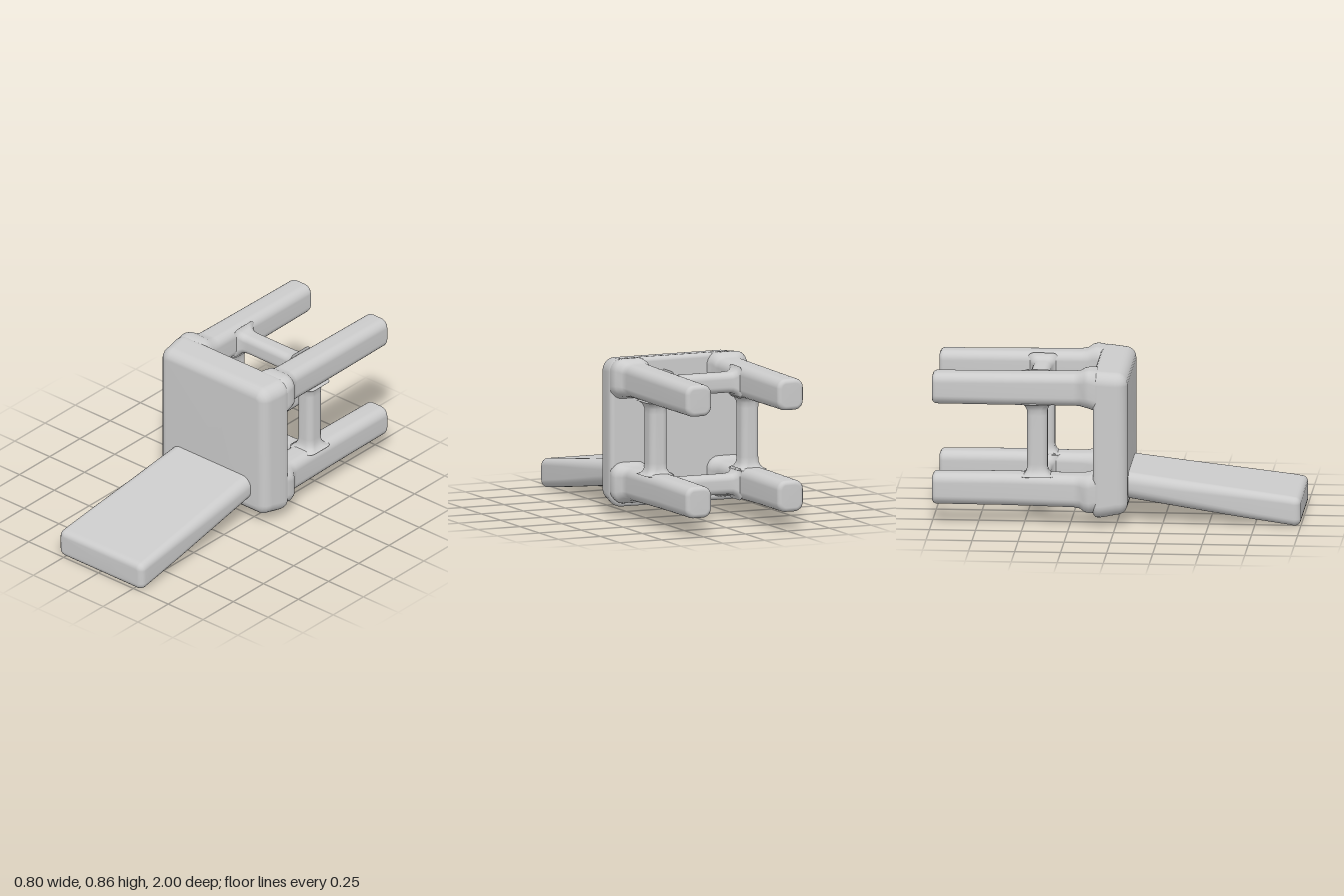
import * as THREE from 'three';

const material = new THREE.MeshStandardMaterial({ color: 0xcccccc });
const CORNER = 6; // steps per rounded corner

// Outline of a rounded rectangle, counter-clockwise
function outline(hw, hh, r) {
  const pts = [];
  [[1, 1], [-1, 1], [-1, -1], [1, -1]].forEach(([sx, sy], q) => {
    for (let i = 0; i <= CORNER; i++) {
      const a = (q + i / CORNER) * Math.PI / 2;
      pts.push([sx * (hw - r) + r * Math.cos(a), sy * (hh - r) + r * Math.sin(a)]);
    }
  });
  return pts;
}

// Rings that round off the end of a bar; dir is -1 at the start, +1 at the end
function roundedEnd([z, cx, cy, hw, hh, r], radius, dir) {
  const rings = [];
  for (let i = 0; i <= 5; i++) {
    const a = i / 5 * Math.PI / 2;
    const inset = radius * (1 - Math.cos(a));
    rings.push([z - dir * radius * (1 - Math.sin(a)), cx, cy, hw - inset, hh - inset, Math.max(r - inset, 0.012)]);
  }
  return dir < 0 ? rings.reverse() : rings;
}

// Solid along z from sections [z, centreX, centreY, halfWidth, halfHeight, cornerRadius]
function softBar(name, sections, startRadius, endRadius) {
  const rings = [
    ...roundedEnd(sections[0], startRadius, -1),
    ...sections.slice(1, -1),
    ...roundedEnd(sections[sections.length - 1], endRadius, 1),
  ];
  const positions = [], index = [], n = 4 * (CORNER + 1);
  for (const [z, cx, cy, hw, hh, r] of rings)
    for (const [x, y] of outline(hw, hh, r)) positions.push(cx + x, cy + y, z);
  for (let i = 0; i < rings.length - 1; i++)
    for (let j = 0; j < n; j++) {
      const a = i * n + j, b = i * n + (j + 1) % n;
      index.push(a, b, b + n, a, b + n, a + n);
    }
  // End caps
  const first = rings[0], last = rings[rings.length - 1];
  const s = rings.length * n, e = s + 1, top = s - n;
  positions.push(first[1], first[2], first[0], last[1], last[2], last[0]);
  for (let j = 0; j < n; j++) {
    const k = (j + 1) % n;
    index.push(s, k, j, e, top + j, top + k);
  }
  const geometry = new THREE.BufferGeometry();
  geometry.setAttribute('position', new THREE.Float32BufferAttribute(positions, 3));
  geometry.setIndex(index);
  geometry.computeVertexNormals();
  const mesh = new THREE.Mesh(geometry, material);
  mesh.name = name;
  return mesh;
}

// Stretcher between two legs, flaring into them at both ends
function stretcher(name, half) {
  const flare = [[0, 0.055], [0.03, 0.057], [0.05, 0.065], [0.063, 0.078], [0.067, 0.088]];
  const ends = flare.map(([d, h]) => [half - 0.065 + d, 0, 0, h - 0.003, h, 0.035]);
  const starts = ends.map(([z, ...rest]) => [-z, ...rest]).reverse();
  return softBar(name, [...starts, ...ends], 0.001, 0.001);
}

export function createModel() {
  const model = new THREE.Group();
  model.name = 'chairLyingOnBack';

  // Seat, standing upright, slightly wider towards its underside
  model.add(softBar('seat', [
    [-0.122, 0, 0.452, 0.398, 0.406, 0.07],
    [-0.08, 0, 0.452, 0.399, 0.405, 0.07],
    [-0.04, 0, 0.453, 0.393, 0.4, 0.07],
    [0.063, 0, 0.455, 0.385, 0.395, 0.07],
  ], 0.025, 0.06));

  // Backrest, sloping down to the ground and thinning a little at the root
  model.add(softBar('backrest', [
    [0.0, -0.005, 0.213, 0.285, 0.072, 0.06],
    [0.06, -0.005, 0.208, 0.284, 0.072, 0.06],
    [0.35, 0, 0.166, 0.29, 0.075, 0.055],
    [0.7, 0.006, 0.117, 0.296, 0.079, 0.045],
    [0.93, 0.01, 0.086, 0.3, 0.08, 0.04],
    [1.0, 0.01, 0.08, 0.3, 0.08, 0.04],
  ], 0.005, 0.035));

  // Four legs with swollen roots reaching out to the seat corners
  for (const [side, sx] of [['Left', 1], ['Right', -1]])
    for (const [level, sy, cy] of [['upper', 1, 0.745], ['lower', -1, 0.188]]) {
      const x = sx * 0.274;
      model.add(softBar(level + side + 'Leg', [
        [-1.0, x, cy, 0.077, 0.086, 0.05],
        [-0.6, x, cy + 0.001, 0.079, 0.088, 0.05],
        [-0.23, x, cy + sy * 0.004, 0.081, 0.089, 0.05],
        [-0.195, x + sx * 0.005, cy + sy * 0.006, 0.088, 0.092, 0.055],
        [-0.17, x + sx * 0.015, cy + sy * 0.012, 0.103, 0.1, 0.06],
        [-0.145, x + sx * 0.018, cy + sy * 0.012, 0.108, 0.106, 0.065],
        [-0.11, x + sx * 0.01, cy + sy * 0.003, 0.115, 0.112, 0.07],
        [-0.06, x + sx * 0.005, cy, 0.108, 0.1, 0.07],
      ], 0.025, 0.02));
    }

  // Ring of four stretchers
  for (const [name, y] of [['upperStretcher', 0.745], ['lowerStretcher', 0.188]]) {
    const bar = stretcher(name, 0.2);
    bar.rotation.y = Math.PI / 2;
    bar.position.set(0, y, -0.435);
    model.add(bar);
  }
  for (const [name, x] of [['leftStretcher', 0.274], ['rightStretcher', -0.274]]) {
    const bar = stretcher(name, 0.2);
    bar.rotation.x = Math.PI / 2;
    bar.position.set(x, 0.4665, -0.43);
    model.add(bar);
  }
  return model;
}
